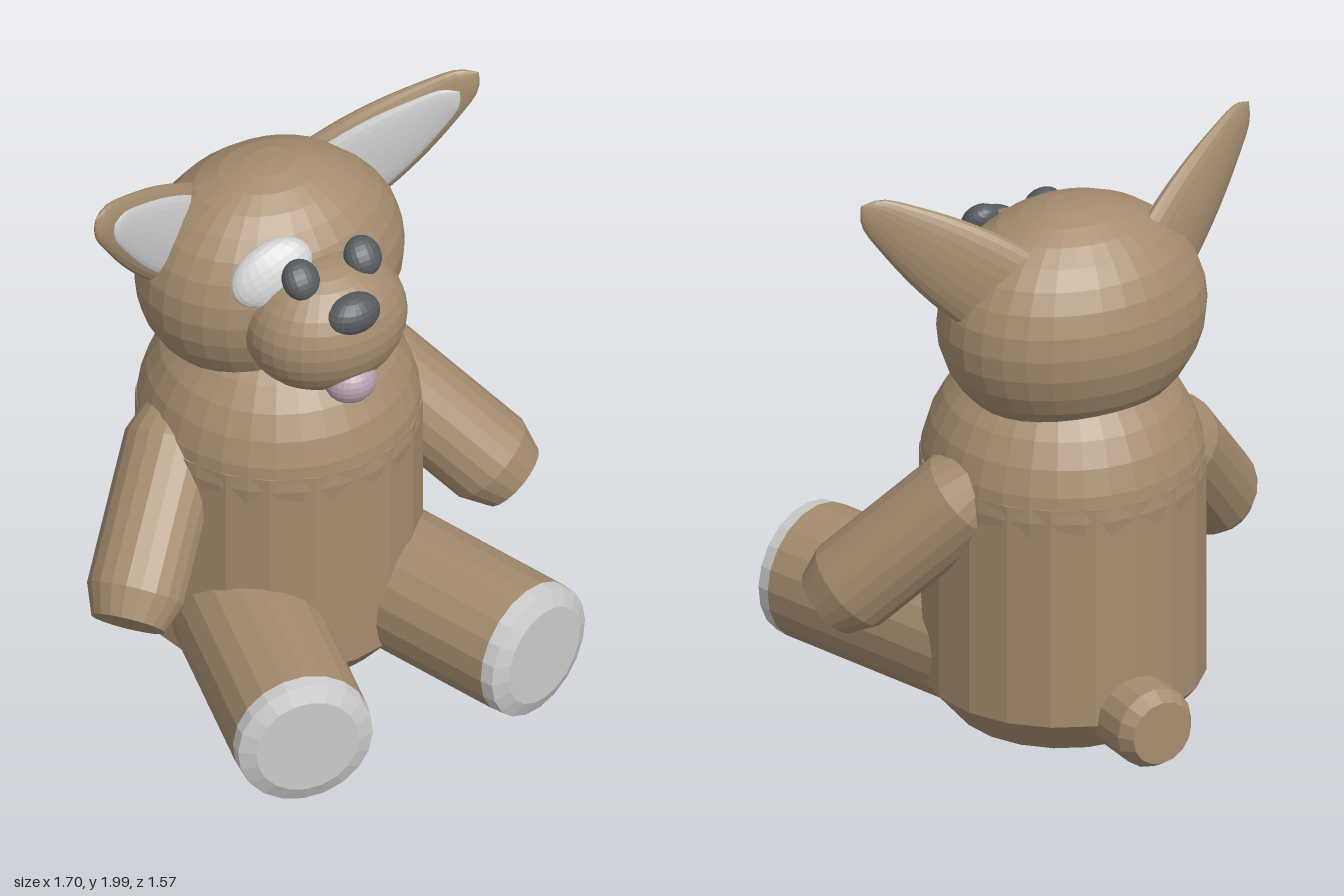
import * as THREE from 'three';

const mat = (color) => new THREE.MeshStandardMaterial({ color, flatShading: true });
const BROWN = mat(0xa58c6f), GREY = mat(0xcccccc), DARK = mat(0x555b60), PINK = mat(0xb8a0b0);
const V = (x, y, z) => new THREE.Vector3(x, y, z);
const UP = V(0, 1, 0);

export function createModel() {
  const model = new THREE.Group();

  const add = (name, geometry, material, position) => {
    const mesh = new THREE.Mesh(geometry, material);
    mesh.name = name;
    mesh.position.copy(position);
    model.add(mesh);
    return mesh;
  };

  const ellipsoid = (name, material, position, radii, w = 32, h = 16) => {
    const mesh = add(name, new THREE.SphereGeometry(1, w, h), material, position);
    mesh.scale.set(...radii);
    return mesh;
  };

  // Turned solid: profile of [radius, height] pairs, from bottom to top
  const lathe = (profile, sides = 20) =>
    new THREE.LatheGeometry(profile.map(([r, y]) => new THREE.Vector2(r, y)), sides);

  // Turned solid standing at `from`, with its axis along `direction`
  const limb = (name, material, profile, from, direction, sides) => {
    const mesh = add(name, lathe(profile, sides), material, from);
    mesh.quaternion.setFromUnitVectors(UP, direction.clone().normalize());
    return mesh;
  };

  // Torso: bevelled barrel with domed shoulders
  add('torso', lathe([[0, 0], [0.36, 0], [0.472, 0.13], [0.472, 0.92], [0, 0.92]]), BROWN, V(0, 0, -0.163));
  ellipsoid('shoulders', BROWN, V(0, 0.87, -0.163), [0.472, 0.472, 0.472]);

  // Head and face
  ellipsoid('head', BROWN, V(0, 1.45, -0.22), [0.47, 0.4, 0.37]);
  ellipsoid('snout', BROWN, V(0, 1.42, 0.12), [0.283, 0.235, 0.235]);
  ellipsoid('nose', DARK, V(0, 1.54, 0.285), [0.1, 0.072, 0.07], 24, 12);
  ellipsoid('tongue', PINK, V(0, 1.262, 0.275), [0.09, 0.075, 0.08], 24, 12);

  // Pale patch lying on the head behind the right eye
  const patch = ellipsoid('eyePatch', GREY, V(-0.17, 1.635, 0.06), [0.15, 0.1, 0.045], 24, 12);
  patch.quaternion.setFromUnitVectors(V(0, 0, 1), V(-0.77, 1.19, 2.17).normalize());
  patch.rotateZ(0.4);

  // Ear outline, half width against length
  const earCurve = new THREE.SplineCurve([[0.175, 0], [0.165, 0.14], [0.14, 0.29],
    [0.1, 0.44], [0.06, 0.55], [0, 0.6]].map(([r, y]) => new THREE.Vector2(r, y)));
  const earProfile = [[0, 0], ...earCurve.getPoints(14).map((p) => [Math.max(p.x, 0), p.y])];

  for (const s of [1, -1]) {
    const side = s > 0 ? 'left' : 'right';

    const eye = ellipsoid(side + 'Eye', DARK, V(0.12 * s, 1.648, 0.16), [0.065, 0.07, 0.048], 20, 12);
    eye.rotation.x = -0.7;

    // Flattened ear with a pale lining on its front
    const ear = new THREE.Group();
    ear.name = side + 'Ear';
    ear.position.set(0.3 * s, 1.615, -0.3);
    ear.rotation.set(0, -0.4 * s, -0.931 * s, 'YXZ');
    const shell = new THREE.Mesh(lathe(earProfile, 24), BROWN);
    shell.name = 'earShell';
    shell.scale.z = 0.32;
    const lining = new THREE.Mesh(lathe(earProfile, 24), GREY);
    lining.name = 'earLining';
    lining.position.z = 0.029;
    lining.scale.set(0.83, 0.86, 0.2);
    ear.add(shell, lining);
    model.add(ear);

    // Arm reaching down, out and forward
    limb(side + 'Arm', BROWN, [[0, 0], [0.125, 0], [0.164, 0.1], [0.164, 0.62], [0.125, 0.72], [0, 0.72]],
      V(0.335 * s, 0.934, -0.236), V(0.57 * s, -0.686, 0.453));

    // Leg stretched forward, with a pale sole
    const legAxis = V(0.277 * s, 0, 0.96).normalize();
    const hip = V(0.217 * s, 0.235, -0.1);
    limb(side + 'Leg', BROWN, [[0, 0], [0.235, 0], [0.235, 0.8], [0, 0.8]], hip, legAxis);
    limb(side + 'Sole', GREY, [[0, 0], [0.235, 0], [0.23, 0.045], [0.175, 0.07], [0, 0.07]],
      hip.clone().addScaledVector(legAxis, 0.8), legAxis);
  }

  // Stubby tail
  limb('tail', BROWN, [[0, 0], [0.14, 0], [0.14, 0.29], [0.11, 0.34], [0, 0.34]],
    V(0, 0.142, -0.45), V(0, 0, -1), 16);

  return model;
}
